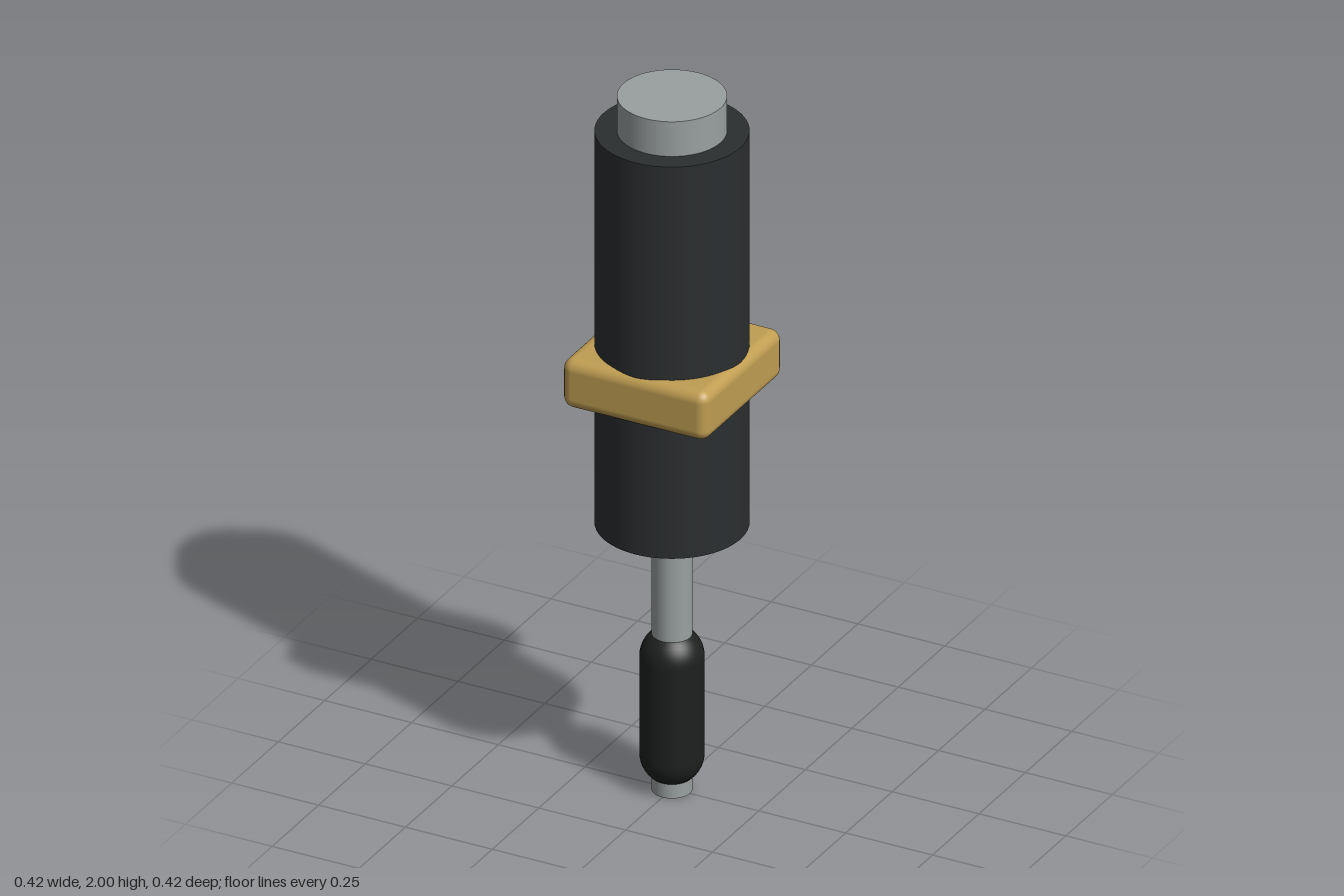
import * as THREE from 'three';
import { RoundedBoxGeometry } from 'three/addons/geometries/RoundedBoxGeometry.js';

const steel = new THREE.MeshStandardMaterial({ color: 0x9aa0a0 });
const black = new THREE.MeshStandardMaterial({ color: 0x2b2e30 });
const rubber = new THREE.MeshStandardMaterial({ color: 0x1e2020 });
const brass = new THREE.MeshStandardMaterial({ color: 0xc09e52 });

export function createModel() {
  const model = new THREE.Group();
  model.name = 'plungerCylinder';

  const add = (name, geometry, material, y) => {
    const mesh = new THREE.Mesh(geometry, material);
    mesh.name = name;
    mesh.position.y = y;
    model.add(mesh);
  };
  // upright cylinder between two heights
  const cylinder = (name, radius, bottom, top, material) =>
    add(name, new THREE.CylinderGeometry(radius, radius, top - bottom, 64), material, (bottom + top) / 2);

  cylinder('body', 0.197, 0.77, 1.9, black);
  cylinder('topCap', 0.14, 1.9, 2, steel);
  cylinder('rod', 0.052, 0, 0.77, steel);

  // square collar with rounded edges
  add('collar', new RoundedBoxGeometry(0.42, 0.14, 0.42, 5, 0.03), brass, 1.215);

  // rounded sleeve around the lower rod
  add('grip', new THREE.CapsuleGeometry(0.083, 0.28, 12, 48), rubber, 0.245);

  return model;
}
